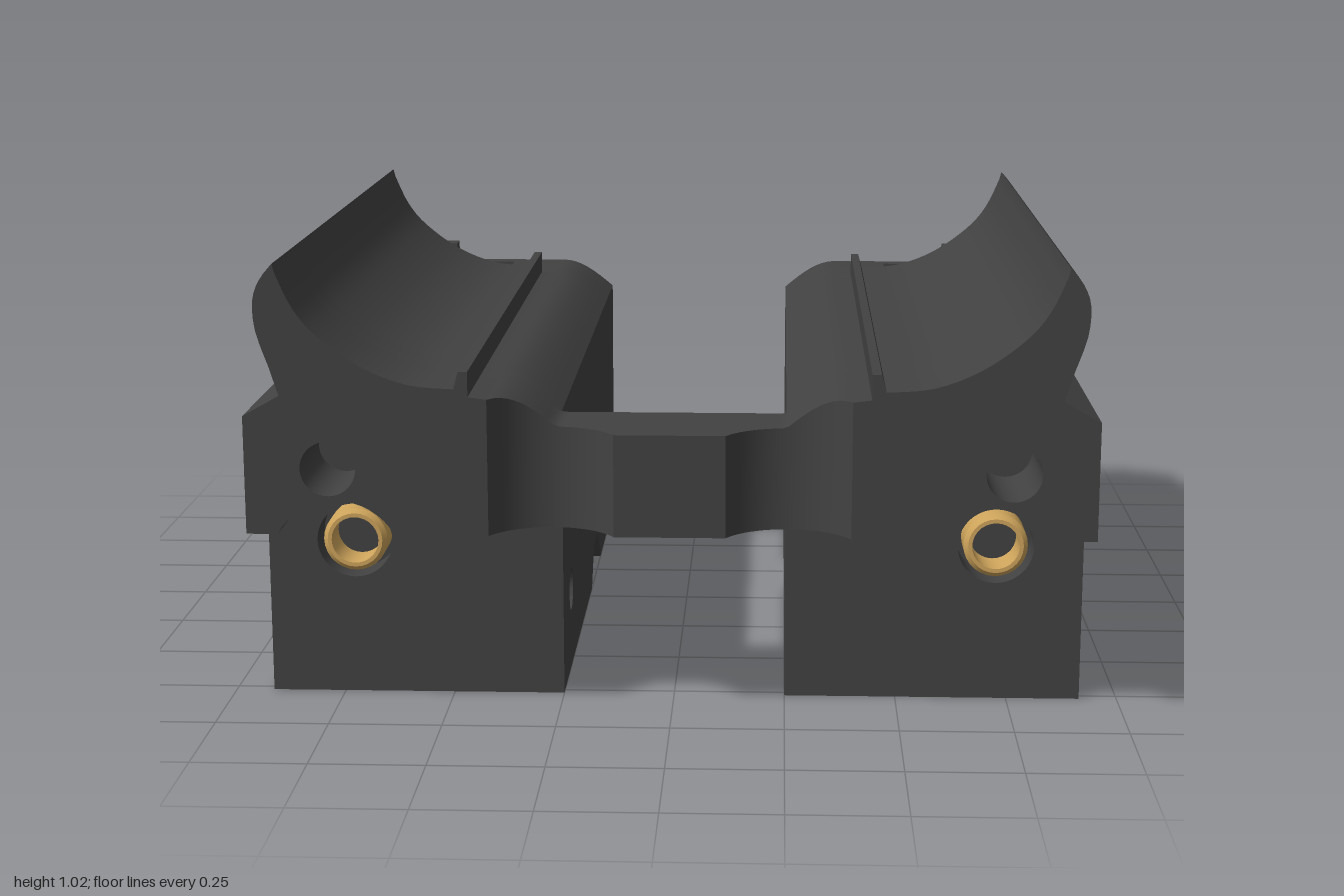
import * as THREE from 'three';
import { toCreasedNormals } from 'three/addons/utils/BufferGeometryUtils.js';

const body = new THREE.MeshStandardMaterial({ color: 0x424242 });
const brass = new THREE.MeshStandardMaterial({ color: 0xd0a65c });

// Shape from [x, y] pairs, with hole paths
function shape(pts, holes = []) {
  const s = new THREE.Shape(pts.map(p => new THREE.Vector2(p[0], p[1])));
  s.holes.push(...holes);
  return s;
}
const circle = (x, y, r) => new THREE.Path().absarc(x, y, r, 0, Math.PI * 2, true);
function slot(x, y0, y1, r) {
  const p = new THREE.Path();
  p.absarc(x, y1 - r, r, 0, Math.PI, false);
  p.absarc(x, y0 + r, r, Math.PI, Math.PI * 2, false);
  p.closePath();
  return p;
}
const rect = (x0, y0, x1, y1) => [[x0, y0], [x1, y0], [x1, y1], [x0, y1]];

// Extrusions along each axis: X takes (-z, y) shapes, Y takes (x, -z) shapes
const extrude = (s, d) => new THREE.ExtrudeGeometry(s, { depth: d, bevelEnabled: false, curveSegments: 20 });
const alongZ = (s, a, b) => extrude(s, b - a).translate(0, 0, a);
const alongX = (s, a, b) => extrude(s, b - a).rotateY(Math.PI / 2).translate(a, 0, 0);
const alongY = (s, a, b) => extrude(s, b - a).rotateX(-Math.PI / 2).translate(0, a, 0);

// Mirror across x = 0 and restore the corner order
function mirrored(geo) {
  const g = geo.index ? geo.toNonIndexed() : geo.clone();
  g.scale(-1, 1, 1);
  const p = g.attributes.position;
  const a = new THREE.Vector3(), b = new THREE.Vector3();
  for (let i = 0; i < p.count; i += 3) {
    a.fromBufferAttribute(p, i + 1);
    b.fromBufferAttribute(p, i + 2);
    p.setXYZ(i + 1, b.x, b.y, b.z);
    p.setXYZ(i + 2, a.x, a.y, a.z);
  }
  g.computeVertexNormals();
  return g;
}

// Rounded inner shoulder of the rail
const shoulder = x => 0.655 + 0.075 * Math.sin(Math.PI / 2 * THREE.MathUtils.clamp((x - 0.25) / 0.14, 0, 1));
const shoulderPts = [];
for (let i = 0; i <= 8; i++) {
  const x = 0.39 - 0.14 * i / 8;
  shoulderPts.push([x, shoulder(x)]);
}
const spline = (pts, n) => new THREE.SplineCurve(pts.map(p => new THREE.Vector2(...p))).getPoints(n).map(v => [v.x, v.y]);

// Rail section: outer wall, horn, cradle, retaining lip, shoulder
function railPts(bottom, inner) {
  return [
    ...bottom, [0.915, 0.69], [0.835, 0.735],
    ...spline([[0.855, 0.8], [0.88, 0.875], [0.884, 0.94], [0.868, 0.985], [0.84, 1.02]], 12),
    ...spline([[0.835, 1.0], [0.8, 0.925], [0.75, 0.865], [0.66, 0.8], [0.56, 0.761], [0.46, 0.752]], 20),
    [0.45, 0.79], [0.43, 0.79], [0.43, 0.735],
    ...(inner < 0.3 ? shoulderPts : [[0.39, 0.73]]),
  ];
}

// Brass insert: a short tube, axis along y
function insertGeo(ri, ro, h) {
  const c = Math.min(0.01, h / 4);
  const pts = [[ri, 0], [ro - c, 0], [ro, c], [ro, h], [ri, h], [ri, 0]].map(p => new THREE.Vector2(...p));
  return new THREE.LatheGeometry(pts, 28);
}

// Front bridge lofted across x, with two vertical scallops
function bridgeGeo() {
  const xs = [-0.39, -0.12, 0.12, 0.39];
  for (let i = 1; i < 20; i++) {
    const x = 0.12 + 0.27 * i / 20;
    xs.push(x, -x);
  }
  xs.sort((a, b) => a - b);
  const pos = [], idx = [];
  xs.forEach((x, i) => {
    const u = Math.abs(x), d = u - 0.255;
    const zf = u <= 0.12 ? 1 : 1.074 - Math.sqrt(0.154 ** 2 - d * d);
    const t = shoulder(u);
    pos.push(x, 0.43, 0.77, x, 0.43, zf, x, t, zf, x, t, 0.77);
    if (i === xs.length - 1) return;
    for (let j = 0; j < 4; j++) {
      const a = i * 4 + j, b = i * 4 + (j + 1) % 4;
      idx.push(a, a + 4, b + 4, a, b + 4, b);
    }
  });
  const g = new THREE.BufferGeometry();
  g.setAttribute('position', new THREE.Float32BufferAttribute(pos, 3));
  g.setIndex(idx);
  return g;
}

export function createModel() {
  const root = new THREE.Group();
  root.name = 'railCarriage';
  const add = (name, geo, mat = body) => {
    const mesh = new THREE.Mesh(toCreasedNormals(geo, 0.5), mat);
    mesh.name = name;
    root.add(mesh);
  };
  const pair = (name, geo, mat) => {
    geo.deleteAttribute('uv');
    add(name + 'Left', geo, mat);
    add(name + 'Right', mirrored(geo), mat);
  };

  // Lower rail walls with bottom notch and counterbored cross holes
  const side = [[-0.68, 0], [0.07, 0], [0.155, 0.095], [0.295, 0.095], [0.38, 0], [0.69, 0], [0.69, 0.43], [-0.68, 0.43]];
  const crossHoles = r => [circle(-0.56, 0.185, r), circle(0.52, 0.185, r)];
  pair('lowerRail', alongX(shape(side, crossHoles(0.05)), 0.25, 0.79));
  pair('lowerRailOuter', alongX(shape(side, crossHoles(0.095)), 0.79, 0.915));

  // Upper rail with cradle
  pair('cradleRail', alongZ(shape(railPts([[0.25, 0.43], [0.915, 0.43]], 0.25)), -0.69, 0.68));

  // Front wall with insert bore
  pair('frontWall', alongZ(shape(railPts([[0.25, 0], [0.915, 0]], 0.25), [circle(0.72, 0.355, 0.085)]), 0.68, 0.77));
  pair('frontInsert', insertGeo(0.053, 0.072, 0.09).rotateX(-Math.PI / 2).translate(0.72, 0.355, 0.77), brass);

  // Front overhang with clearance arch and screw hole
  const arch = [];
  for (let i = 0; i <= 16; i++) {
    const a = Math.PI - 0.504 - (Math.PI - 1.008) * i / 16;
    arch.push([0.72 + 0.145 * Math.cos(a), 0.36 + 0.145 * Math.sin(a)]);
  }
  pair('frontOverhang', alongZ(
    shape(railPts([[0.39, 0.43], ...arch, [0.915, 0.43]], 0.39), [circle(0.735, 0.575, 0.06)]), 0.77, 1));
  add('frontBridge', bridgeGeo());

  // Rear base plate with pockets below, and the rear bridge
  const pocket = x => [
    new THREE.Path(rect(x - 0.12, 0.77, x + 0.12, 0.83).map(p => new THREE.Vector2(...p))),
  ];
  const nutPocket = x => {
    const pts = [];
    for (let i = 0; i <= 12; i++) {
      const a = -1.1 + 2.2 * i / 12 + Math.PI / 2;
      pts.push([x + 0.07 * Math.cos(a), 0.8 + 0.07 * Math.sin(a)]);
    }
    const half = [[x + 0.11, 0.83], ...pts, [x - 0.11, 0.83]];
    const loop = [...half, ...half.map(p => [2 * x - p[0], 1.6 - p[1]])];
    return new THREE.Path(loop.map(p => new THREE.Vector2(...p)));
  };
  add('rearBase', alongY(shape(rect(-0.915, 0.69, 0.915, 0.945),
    [circle(0, 0.84, 0.075), nutPocket(0.59), nutPocket(-0.59)]), 0, 0.08));
  add('rearBridge', alongY(shape(rect(-0.25, 0.69, 0.25, 0.945),
    [circle(0, 0.84, 0.05), circle(0.11, 0.84, 0.026), circle(-0.11, 0.84, 0.026)]), 0.08, 0.215));
  add('rearInsert', insertGeo(0.05, 0.075, 0.08).translate(0, 0, -0.84), brass);
  pair('notchInsert', insertGeo(0.045, 0.07, 0.03).translate(0.72, 0.088, -0.225), brass);

  // Rear blocks: shoulder strip, recessed middle, slotted back wall
  const block = floor => [[0.25, 0.08], [0.915, 0.08], [0.915, 0.7], [0.85, 0.7], [0.85, floor],
    [0.55, floor], [0.53, 0.73], ...shoulderPts];
  pair('rearBlockFront', alongZ(shape(block(0.73)), -0.75, -0.69));
  pair('rearBlockRecess', alongZ(shape(block(0.68)), -0.9, -0.75));
  pair('rearBlockBack', alongZ(shape(block(0.73), [slot(0.785, 0.22, 0.53, 0.04)]), -0.945, -0.9));

  // Rear pads with slots, and a sloped inner edge
  pair('rearPad', alongZ(shape(
    [[0.7, 0], [0.915, 0], [0.915, 0.7], [0.85, 0.7], [0.85, 0.775], [0.7, 0.775]],
    [slot(0.785, 0.18, 0.57, 0.07)]), -1, -0.945));
  pair('padSlope', alongY(shape([[0.65, 0.945], [0.7, 0.945], [0.7, 1]]), 0, 0.73));

  // Chamfered outer end lips
  pair('endLip', alongX(shape([[0.69, 0.7], [1, 0.7], [1, 0.73], [0.87, 0.87], [0.69, 0.87]]), 0.85, 0.915));

  return root;
}
